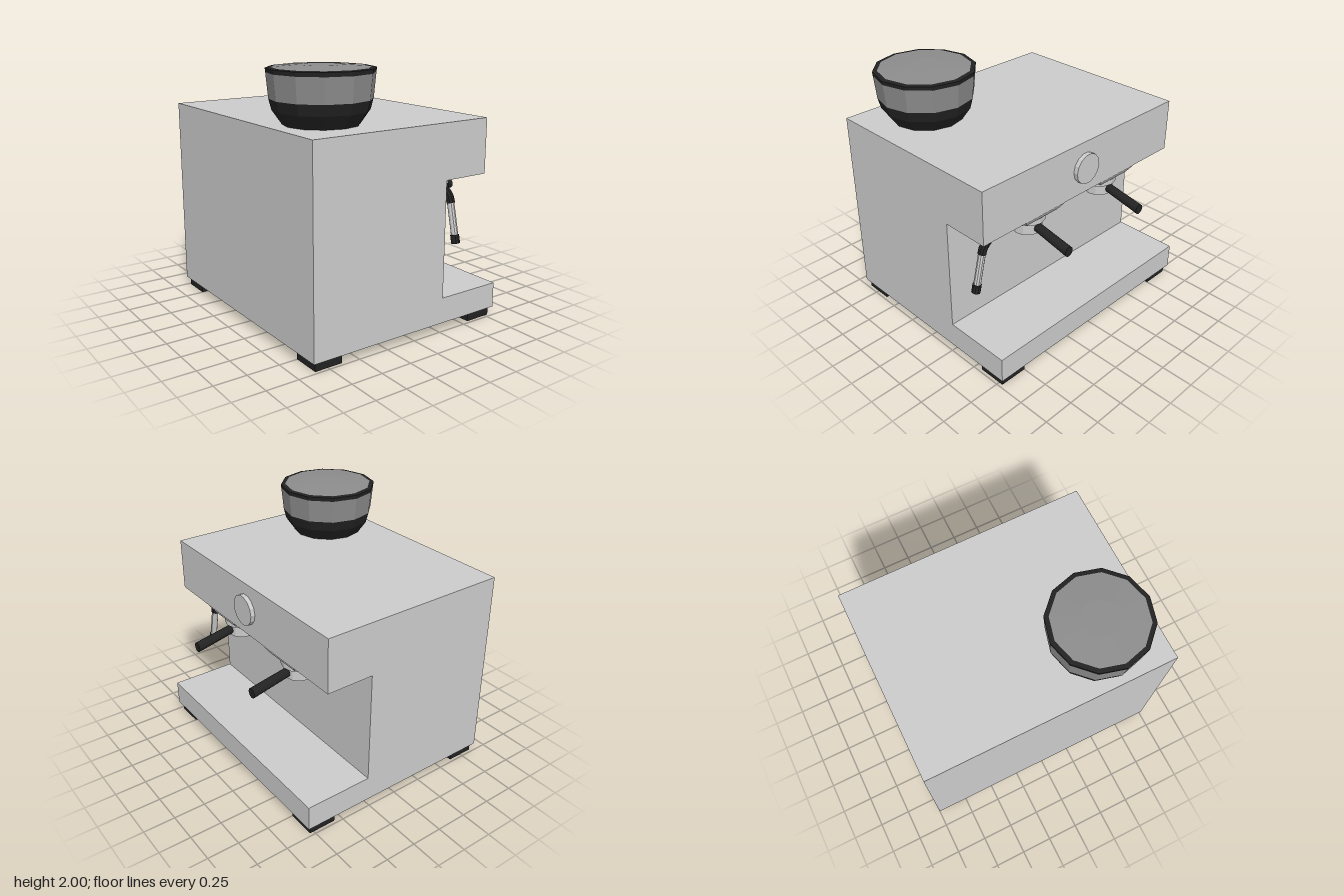
import * as THREE from 'three';

const mat = (color) => new THREE.MeshStandardMaterial({ color, flatShading: true, side: THREE.DoubleSide });
const V = (x, y, z) => new THREE.Vector3(x, y, z);

export function createModel() {
  const model = new THREE.Group();
  const grey = mat(0xcccccc), black = mat(0x222222), smoked = mat(0x8c8c8c);

  function add(name, geometry, material, x = 0, y = 0, z = 0, parent = model) {
    const mesh = new THREE.Mesh(geometry, material);
    mesh.name = name;
    mesh.position.set(x, y, z);
    parent.add(mesh);
    return mesh;
  }

  // C-shaped housing with drip tray base; the working side faces +x
  const profile = [[-0.88, 0.07], [0.81, 0.07], [0.81, 0.27], [0.27, 0.27],
    [0.27, 1.17], [0.65, 1.17], [0.65, 1.59], [-0.88, 1.59]];
  const shape = new THREE.Shape(profile.map(([x, y]) => new THREE.Vector2(x, y)));
  add('housing', new THREE.ExtrudeGeometry(shape, { depth: 2, bevelEnabled: false }), grey, 0, 0, -1);

  // Four feet
  for (const x of [-0.745, 0.673]) {
    for (const z of [-0.863, 0.863]) add('foot', new THREE.BoxGeometry(0.22, 0.07, 0.225), black, x, 0.035, z);
  }

  // Bean hopper in stacked twelve-sided bands
  const hopper = new THREE.Group();
  hopper.name = 'beanHopper';
  hopper.position.set(-0.49, 0, 0.525);
  model.add(hopper);
  const band = (name, points, material) => add(name,
    new THREE.LatheGeometry(points.map(([r, y]) => new THREE.Vector2(r, y)), 12), material, 0, 0, 0, hopper);
  band('hopperBase', [[0, 1.59], [0.275, 1.59], [0.345, 1.69], [0.365, 1.77]], black);
  band('hopperBowl', [[0.365, 1.77], [0.382, 1.95]], smoked);
  band('hopperRim', [[0.382, 1.95], [0.385, 1.98], [0.35, 1.985]], black);
  band('hopperLid', [[0.35, 1.985], [0.14, 2], [0, 2]], smoked);

  // Round pressure gauge
  add('gauge', new THREE.CylinderGeometry(0.12, 0.12, 0.035, 14), grey, 0.667, 1.38, 0).rotation.z = -Math.PI / 2;

  // Two brew groups, each with a filter holder and handle
  for (const z of [-0.4, 0.4]) {
    const brew = new THREE.Group();
    brew.name = 'brewGroup';
    brew.position.set(0.46, 0, z);
    model.add(brew);

    // Square tapered collar
    const collar = new THREE.CylinderGeometry(0.2 * Math.SQRT2, 0.157 * Math.SQRT2, 0.06, 4);
    collar.rotateY(Math.PI / 4).scale(0.95, 1, 1);
    add('collar', collar, grey, 0, 1.14, 0, brew);
    add('groupHead', new THREE.CylinderGeometry(0.135, 0.135, 0.06, 12), grey, 0, 1.08, 0, brew);
    add('filterHolder', new THREE.CylinderGeometry(0.115, 0.115, 0.09, 12), grey, 0, 1.005, 0, brew);
    add('spoutHole', new THREE.CylinderGeometry(0.012, 0.012, 0.004, 8), black, 0, 0.96, 0, brew);

    // Handle sloping downward, with its ends cut upright
    const handle = new THREE.CylinderGeometry(0.04, 0.036, 0.31, 12);
    handle.rotateZ(-Math.PI / 2);
    const p = handle.attributes.position;
    for (let i = 0; i < p.count; i++) p.setY(i, p.getY(i) - 0.21 * p.getX(i));
    handle.computeVertexNormals();
    add('handle', handle, black, 0.26, 0.975, 0, brew);
  }

  // Steam wand
  const wand = new THREE.Group();
  wand.name = 'steamWand';
  wand.position.x = 0.46;
  model.add(wand);
  function rod(name, a, b, r, material) {
    const mesh = add(name, new THREE.CylinderGeometry(r, r, a.distanceTo(b), 10), material, 0, 0, 0, wand);
    mesh.position.copy(a).lerp(b, 0.5);
    mesh.quaternion.setFromUnitVectors(V(0, 1, 0), b.clone().sub(a).normalize());
  }
  rod('wandTop', V(0, 1.17, 0.772), V(0, 1.07, 0.772), 0.028, grey);
  const bend = new THREE.CatmullRomCurve3([V(0, 1.08, 0.772), V(0, 1.045, 0.777),
    V(0, 1.005, 0.82), V(0, 0.975, 0.842), V(0, 0.94, 0.851)]);
  add('wandGrip', new THREE.TubeGeometry(bend, 8, 0.032, 10), black, 0, 0, 0, wand);
  rod('wandTube', V(0, 0.95, 0.849), V(0, 0.69, 0.909), 0.028, grey);
  rod('wandTip', V(0, 0.705, 0.905), V(0, 0.64, 0.92), 0.034, black);

  return model;
}
